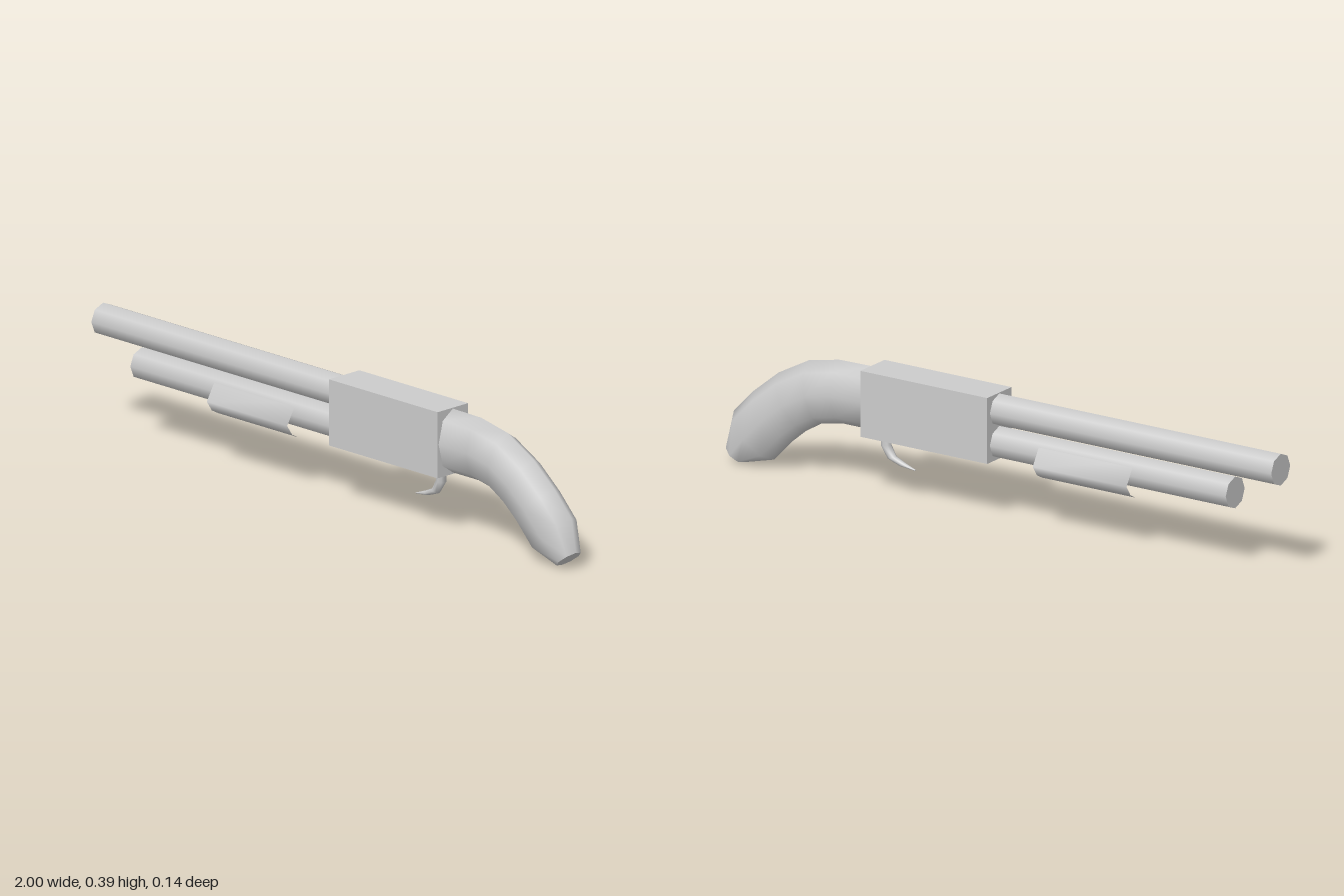
import * as THREE from 'three';

const material = new THREE.MeshStandardMaterial({ color: 0xcccccc });

function addPart(group, name, geometry, x = 0, y = 0, z = 0) {
  const mesh = new THREE.Mesh(geometry, material);
  mesh.name = name;
  mesh.position.set(x, y, z);
  group.add(mesh);
  return mesh;
}

// Eight-sided tube lying along x
function barrel(x0, x1) {
  return new THREE.CylinderGeometry(0.05, 0.05, x1 - x0, 8).rotateZ(Math.PI / 2);
}

// Smooth loft through elliptical rings [outerX, outerY, innerX, innerY, halfWidth],
// closed with a flat cap after the last ring
function loft(rings, sides) {
  const pos = [];
  const index = [];
  const addRing = ([ox, oy, ix, iy, w]) => {
    for (let j = 0; j < sides; j++) {
      const a = (j / sides) * Math.PI * 2;
      const t = (1 + Math.cos(a)) / 2;
      pos.push(ix + (ox - ix) * t, iy + (oy - iy) * t, Math.sin(a) * w);
    }
  };
  rings.forEach(addRing);
  for (let i = 0; i < rings.length - 1; i++) {
    for (let j = 0; j < sides; j++) {
      const a = i * sides + j;
      const b = i * sides + ((j + 1) % sides);
      index.push(a, b, a + sides, b, b + sides, a + sides);
    }
  }
  const cap = rings.length * sides;
  addRing(rings[rings.length - 1]);
  for (let j = 1; j < sides - 1; j++) index.push(cap, cap + j, cap + j + 1);
  const geometry = new THREE.BufferGeometry();
  geometry.setAttribute('position', new THREE.Float32BufferAttribute(pos, 3));
  geometry.setIndex(index);
  geometry.computeVertexNormals();
  return geometry;
}

// Open trough: a plane whose rows are bent onto a cross-section of [z, y] points
function trough(length, profile) {
  const geometry = new THREE.PlaneGeometry(length, 1, 1, profile.length - 1);
  const p = geometry.attributes.position;
  for (let i = 0; i < p.count; i++) {
    const [z, y] = profile[Math.floor(i / 2)];
    p.setXYZ(i, p.getX(i), y, z);
  }
  geometry.computeVertexNormals();
  return geometry;
}

export function createModel() {
  const group = new THREE.Group();
  group.name = 'shotgun';

  // Barrel above, magazine tube below
  addPart(group, 'barrel', barrel(-1, 0.03), -0.485, 0.34);
  addPart(group, 'magazineTube', barrel(-0.835, 0.03), -0.4025, 0.238);

  // Sliding fore-end wrapped around the magazine tube
  const half = [[0.033, 0.274], [0.071, 0.21], [0.05, 0.178], [0.022, 0.163]];
  const mirrored = half.map(([z, y]) => [-z, y]).reverse();
  addPart(group, 'foreEnd', trough(0.34, [...half, ...mirrored]), -0.32);

  // Receiver block
  addPart(group, 'receiver', new THREE.BoxGeometry(0.46, 0.207, 0.128), 0.25, 0.289);

  // Curved pistol-grip stock
  addPart(group, 'stock', loft([
    [0.47, 0.39, 0.47, 0.19, 0.06],
    [0.6, 0.388, 0.59, 0.19, 0.06],
    [0.71, 0.366, 0.665, 0.175, 0.06],
    [0.82, 0.307, 0.72, 0.142, 0.06],
    [0.91, 0.233, 0.77, 0.1, 0.06],
    [0.982, 0.158, 0.837, 0.03, 0.06],
    [1.0, 0.054, 0.94, 0.003, 0.042],
  ], 8));

  // Hooked trigger
  addPart(group, 'trigger', loft([
    [0.446, 0.2, 0.41, 0.2, 0.015],
    [0.447, 0.15, 0.414, 0.155, 0.015],
    [0.422, 0.112, 0.395, 0.122, 0.013],
    [0.375, 0.095, 0.365, 0.108, 0.01],
    [0.325, 0.09, 0.325, 0.093, 0.003],
  ], 8));

  return group;
}
